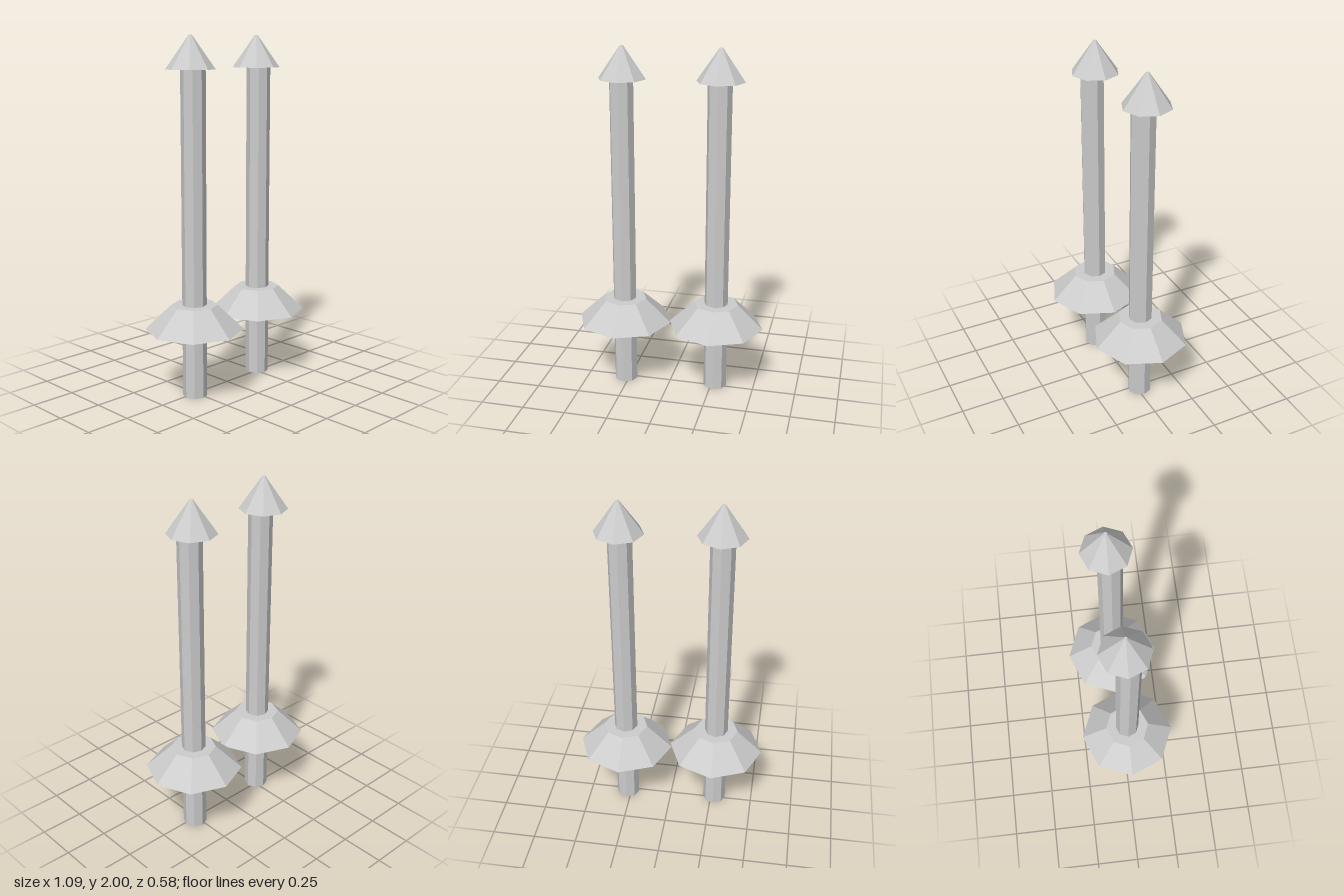
import * as THREE from 'three';

const grey = new THREE.MeshStandardMaterial({ color: 0xcccccc, flatShading: true });
grey.name = 'light grey';

// Eight-sided tapered section standing between two heights
function section(name, rTop, rBottom, y0, y1, z = 0) {
  const geometry = new THREE.CylinderGeometry(rTop, rBottom, y1 - y0, 8);
  const mesh = new THREE.Mesh(geometry, grey);
  mesh.name = name;
  mesh.position.set(0, (y0 + y1) / 2, z);
  return mesh;
}

// One spike: shaft, sloping collar and pointed cap set slightly back
function spike(name, x, z) {
  const group = new THREE.Group();
  group.name = name;
  group.add(
    section('shaft', 0.068, 0.068, 0, 1.825),
    section('collar', 0.128, 0.275, 0.39, 0.53),
    section('cap', 0.009, 0.135, 1.82, 2, -0.019)
  );
  group.position.set(x, 0, z);
  return group;
}

export function createModel() {
  const model = new THREE.Group();
  model.name = 'spikePair';
  model.add(spike('rightSpike', -0.27, 0.016), spike('leftSpike', 0.27, -0.016));
  return model;
}
